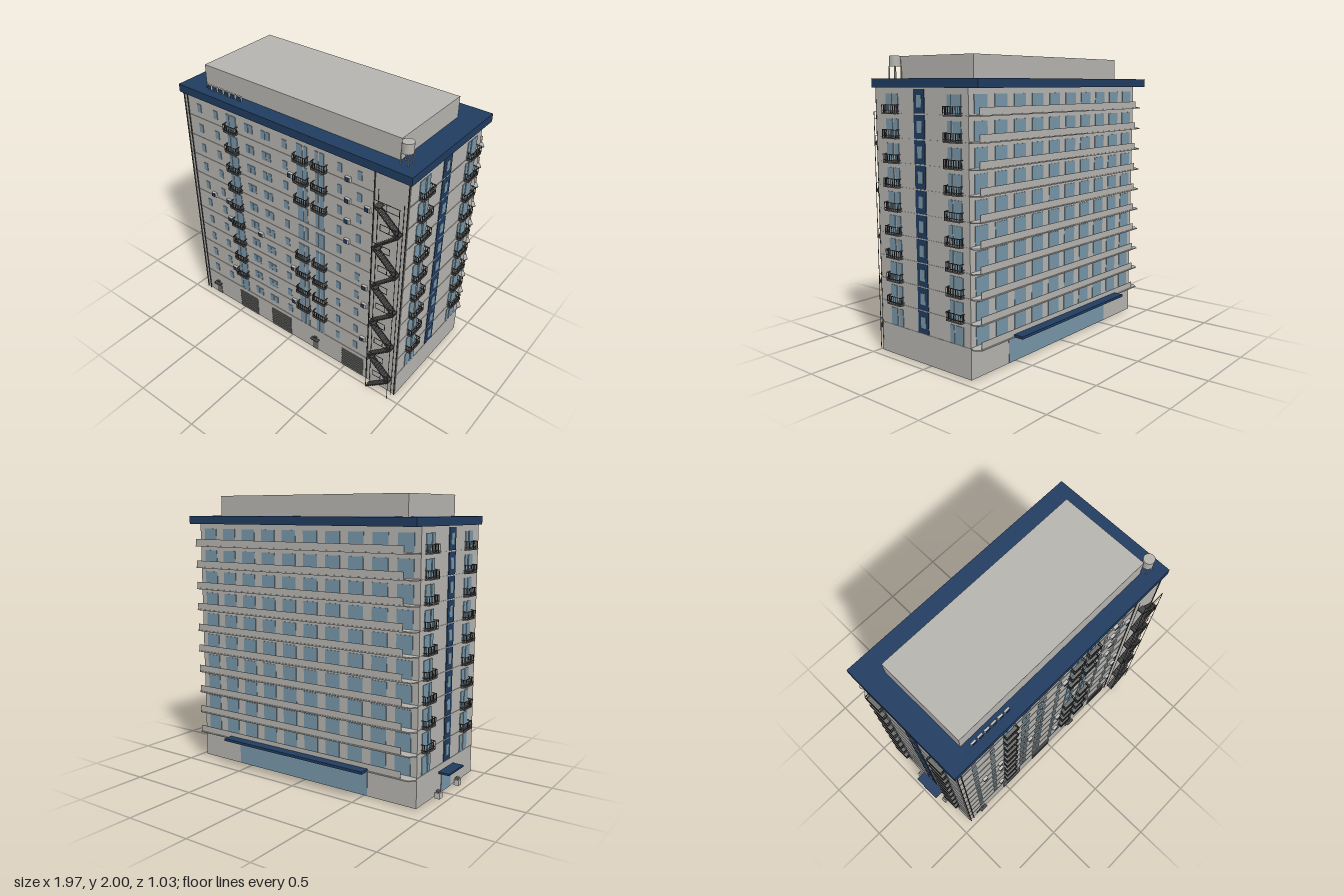
import * as THREE from 'three';
import { mergeGeometries } from 'three/addons/utils/BufferGeometryUtils.js';

const colour = (name, hex) => {
  const m = new THREE.MeshStandardMaterial({ color: hex });
  m.name = name;
  return m;
};

export function createModel() {
  const wall = colour('wall grey', 0xb6b4af);
  const navy = colour('navy', 0x203c60);
  const glass = colour('window blue', 0x7896a8);
  const iron = colour('dark iron', 0x434343);
  const shutter = colour('shutter grey', 0x6c6c6b);
  const pale = colour('pale grey', 0xc2c0bb);

  const FLOOR = 0.158, TOP = 1.637;           // storey height, level of the highest floor
  const X0 = -0.91, X1 = 0.945, Z0 = -0.375, Z1 = 0.452;

  // Geometry is gathered by part and merged at the end
  const parts = new Map();
  const add = (name, mat, geo) => {
    if (!parts.has(name)) parts.set(name, { mat, geos: [] });
    parts.get(name).geos.push(geo);
  };
  const box = (name, mat, [x0, x1], [y0, y1], [z0, z1], frame) => {
    const g = new THREE.BoxGeometry(x1 - x0, y1 - y0, z1 - z0);
    g.translate((x0 + x1) / 2, (y0 + y1) / 2, (z0 + z1) / 2);
    if (frame) g.applyMatrix4(frame);
    add(name, mat, g);
  };
  // Wall frames: local x runs along the wall, local z points outward
  const frameOf = (angle, x, z) => new THREE.Matrix4().makeRotationY(angle).setPosition(x, 0, z);
  const front = frameOf(0, 0, Z1);
  const leftSide = frameOf(Math.PI / 2, X1, 0);
  const rightSide = frameOf(-Math.PI / 2, X0, 0);
  const back = frameOf(Math.PI, 0, Z0);

  const pane = (name, mat, x, y, frame, d = 0.004) => box(name, mat, x, y, [-0.004, d], frame);

  const balcony = (x0, x1, y, frame) => {
    const D = 0.038, T = 0.004, h = 0.054;
    box('balcony slabs', shutter, [x0, x1], [y - 0.006, y + 0.002], [0, D], frame);
    for (const r of [y + 0.012, y + h - T]) {
      box('balcony railings', iron, [x0, x1], [r, r + T], [D - T, D], frame);
      for (const x of [x0, x1 - T]) box('balcony railings', iron, [x, x + T], [r, r + T], [0, D], frame);
    }
    for (let i = 0; i <= 6; i++) {
      const x = x0 + (x1 - x0 - 0.003) * i / 6;
      box('balcony railings', iron, [x, x + 0.003], [y, y + h], [D - T, D], frame);
    }
    for (const x of [x0, x1 - 0.003]) for (const z of [0.01, 0.022])
      box('balcony railings', iron, [x, x + 0.003], [y, y + h], [z, z + 0.003], frame);
  };

  // Main block, roof slab and rooftop storey
  box('building body', wall, [X0, X1], [0.01, 1.8], [Z0, Z1]);
  box('roof slab', navy, [-0.925, 0.962], [1.798, 1.855], [-0.467, 0.475]);
  box('rooftop storey', wall, [-0.77, 0.808], [1.855, 2], [-0.29, 0.36]);

  // Rooftop vents and water tank
  for (let i = 0; i < 6; i++) {
    const x = -0.703 + i * 0.055;
    box('roof vents', pale, [x - 0.02, x + 0.02], [1.855, 1.89], [0.393, 0.406]);
    box('vent faces', navy, [x - 0.013, x + 0.02], [1.859, 1.886], [0.405, 0.409]);
  }
  const tank = new THREE.CylinderGeometry(0.038, 0.038, 0.068, 20);
  add('water tank', wall, tank.translate(0.853, 1.966, 0.365));
  for (const sx of [-1, 1]) for (const sz of [-1, 1]) {
    const x = 0.853 + sx * 0.027, z = 0.365 + sz * 0.027;
    box('tank legs', pale, [x - 0.003, x + 0.003], [1.855, 1.935], [z - 0.003, z + 0.003]);
  }

  // Storeys, counted downward from the top
  const smallWindows = [[-0.785, -0.75], [-0.63, -0.595], [-0.345, -0.315], [-0.31, -0.275], [-0.2, -0.165],
    [-0.155, -0.125], [-0.02, 0.017], [0.425, 0.457], [0.575, 0.61]];
  const tallWindows = [[-0.51, -0.485], [-0.475, -0.425], [0.1, 0.148], [0.16, 0.185], [0.25, 0.275], [0.285, 0.32]];
  const coolers = [[0.51], [0.05, 0.51, 0.66], [0.51], [0.51], [-0.7, -0.55], [-0.55, -0.25, 0.66],
    [0.05, 0.66], [], [-0.55, 0.05, 0.66], []];
  for (let k = 0; k < 10; k++) {
    const y = TOP - k * FLOOR;

    // Front windows, balconies and cooling units
    for (const w of smallWindows) pane('front windows', glass, w, [y + 0.042, y + 0.104], front);
    for (const w of tallWindows) pane('balcony windows', glass, w, [y + 0.003, y + 0.118], front);
    if (k < 9) {
      balcony(-0.515, -0.41, y, front);
      if (k !== 3 && k !== 4) {
        balcony(0.09, 0.197, y, front);
        balcony(0.238, 0.347, y, front);
      }
    }
    for (const x of coolers[k]) {
      box('cooling units', pale, [x - 0.02, x + 0.02], [y + 0.003, y + 0.036], [0, 0.018], front);
      box('cooling unit faces', navy, [x - 0.018, x + 0.01], [y + 0.005, y + 0.034], [0.017, 0.021], front);
    }
    box('floor ledges', wall, [X0, 0.7], [y - 0.006, y], [-0.003, 0.003], front);

    // Side windows, balconies and the navy stair strip
    for (const [frame, s] of [[leftSide, -1], [rightSide, 1]]) {
      const span = (a, b) => [Math.min(s * a, s * b), Math.max(s * a, s * b)];
      for (const [a, b] of [[0.355, 0.295], [0.28, 0.24], [-0.2, -0.235], [-0.245, -0.315]])
        pane('side windows', glass, span(a, b), [y + 0.003, y + 0.122], frame);
      pane('stair strip', navy, span(-0.004, 0.092), [y + 0.003, y + 0.152], frame);
      pane('stair windows', glass, span(0.02, 0.063), [y + 0.04, y + 0.115], frame, 0.007);
      if (k < 9) for (const [a, b] of [[0.23, 0.358], [-0.325, -0.197]]) balcony(...span(a, b), y, frame);
      box('floor ledges', wall, [-0.45, 0.45].map((v, i) => (s < 0 ? [-Z1, -Z0] : [Z0, Z1])[i]),
        [y - 0.006, y], [-0.003, 0.003], frame);
    }

    // Back gallery: slab with cut corners, parapet and windows
    const slab = new THREE.Shape([[-0.945, 0], [0.91, 0], [0.925, 0.035], [0.89, 0.076], [-0.925, 0.076], [-0.96, 0.035]]
      .map(([x, z]) => new THREE.Vector2(x, -z)));
    const slabGeo = new THREE.ExtrudeGeometry(slab, { depth: 0.008, bevelEnabled: false });
    slabGeo.rotateX(-Math.PI / 2).translate(0, y - 0.004, 0).applyMatrix4(back);
    add('gallery slabs', wall, slabGeo);
    box('gallery parapets', wall, [-0.925, 0.83], [y, y + 0.05], [0.066, 0.07], back);
    for (let i = 0; i < 10; i++) {
      const x = 0.0175 + (i - 4.5) * 0.183;
      pane('back windows', glass, [-x - 0.058, -x + 0.058], [y + 0.008, y + 0.125], back);
    }
  }

  // Drainpipes on the front corners
  for (const x of [-0.903, -0.872, 0.702, 0.94]) {
    const pipe = new THREE.CylinderGeometry(0.004, 0.004, 1.79, 8);
    add('drainpipes', iron, pipe.translate(x, 0.905, Z1 + 0.006));
  }

  // Ground floor front: shutters and service doors
  for (const x of [[-0.525, -0.342], [-0.192, -0.002], [0.482, 0.668]]) {
    pane('garage shutters', shutter, x, [0.012, 0.177], front);
    for (let y = 0.03; y < 0.17; y += 0.02) box('shutter slats', shutter, x, [y, y + 0.006], [0.003, 0.007], front);
  }
  for (const x of [-0.77, 0.238]) {
    pane('service doors', shutter, [x - 0.026, x + 0.024], [0.012, 0.11], front);
    box('door canopies', iron, [x - 0.033, x + 0.033], [0.116, 0.121], [0, 0.03], front);
    box('door lamps', iron, [x - 0.012, x + 0.012], [0.133, 0.138], [0, 0.015], front);
  }
  for (const x of [-0.825, -0.805]) pane('meter boxes', navy, [x - 0.007, x + 0.007], [0.072, 0.088], front);

  // Back shopfront with canopy
  pane('shopfront glass', glass, [-0.59, 0.54], [0.012, 0.205], back);
  box('shopfront canopy', navy, [-0.62, 0.585], [0.214, 0.232], [0.02, 0.142], back);

  // Side entrance with canopy and planters
  pane('entrance doors', glass, [-0.03, 0.11], [0.012, 0.148], rightSide);
  box('entrance canopy', navy, [-0.07, 0.15], [0.153, 0.166], [0, 0.08], rightSide);
  for (const z of [-0.108, 0.183]) {
    box('planters', pale, [z - 0.021, z + 0.021], [0, 0.04], [0.006, 0.042], rightSide);
    box('planter tops', shutter, [z - 0.014, z + 0.014], [0.04, 0.055], [0.012, 0.034], rightSide);
  }

  // Fire escape zigzagging up the front
  const L = 0.737, R = 0.918, N = Z1 + 0.014, F = Z1 + 0.062, t = 0.003;
  for (const x of [L, R]) for (const z of [N, F])
    box('escape posts', iron, [x - t / 2, x + t / 2], [0, x === L ? 1.68 : 1.64], [z - t, z]);
  for (let n = 0; n < 10; n++) {
    const y = 0.007 + n * FLOOR, dir = n % 2 ? -1 : 1, start = n % 2 ? R : L;
    // Treads and stringers
    for (let i = 0; i < 12; i++) {
      const x = start + dir * (R - L) * (i + 0.5) / 12, ty = y + FLOOR * (i + 0.5) / 12;
      box('escape treads', iron, [x - 0.009, x + 0.009], [ty - 0.002, ty + 0.002], [N, F]);
    }
    for (const z of [N, F - t]) {
      const bar = new THREE.BoxGeometry(Math.hypot(R - L, FLOOR), 0.006, t);
      bar.rotateZ(dir * Math.atan2(FLOOR, R - L)).translate((L + R) / 2, y + FLOOR / 2, z);
      add('escape stringers', iron, bar);
    }
    // Landing at the head of the flight
    const top = y + FLOOR, a = n === 9 ? L : dir > 0 ? R - 0.13 : L, b = n === 9 ? R : dir > 0 ? R : L + 0.13;
    const head = dir > 0 ? [R - 0.045, R] : [L, L + 0.045];
    box('escape landings', iron, head, [top - 0.003, top + 0.003], [N, F]);
    for (const h of [0.002, 0.048]) box('escape rails', iron, [a, b], [top + h, top + h + t], [F - t, F]);
    for (const x of [a, (a + b) / 2, b - t]) box('escape rails', iron, [x, x + t], [top, top + 0.05], [F - t, F]);
  }

  const model = new THREE.Group();
  model.name = 'apartment building';
  for (const [name, { mat, geos }] of parts) {
    const mesh = new THREE.Mesh(mergeGeometries(geos.map(g => (g.index ? g.toNonIndexed() : g))), mat);
    mesh.name = name;
    model.add(mesh);
  }
  return model;
}
